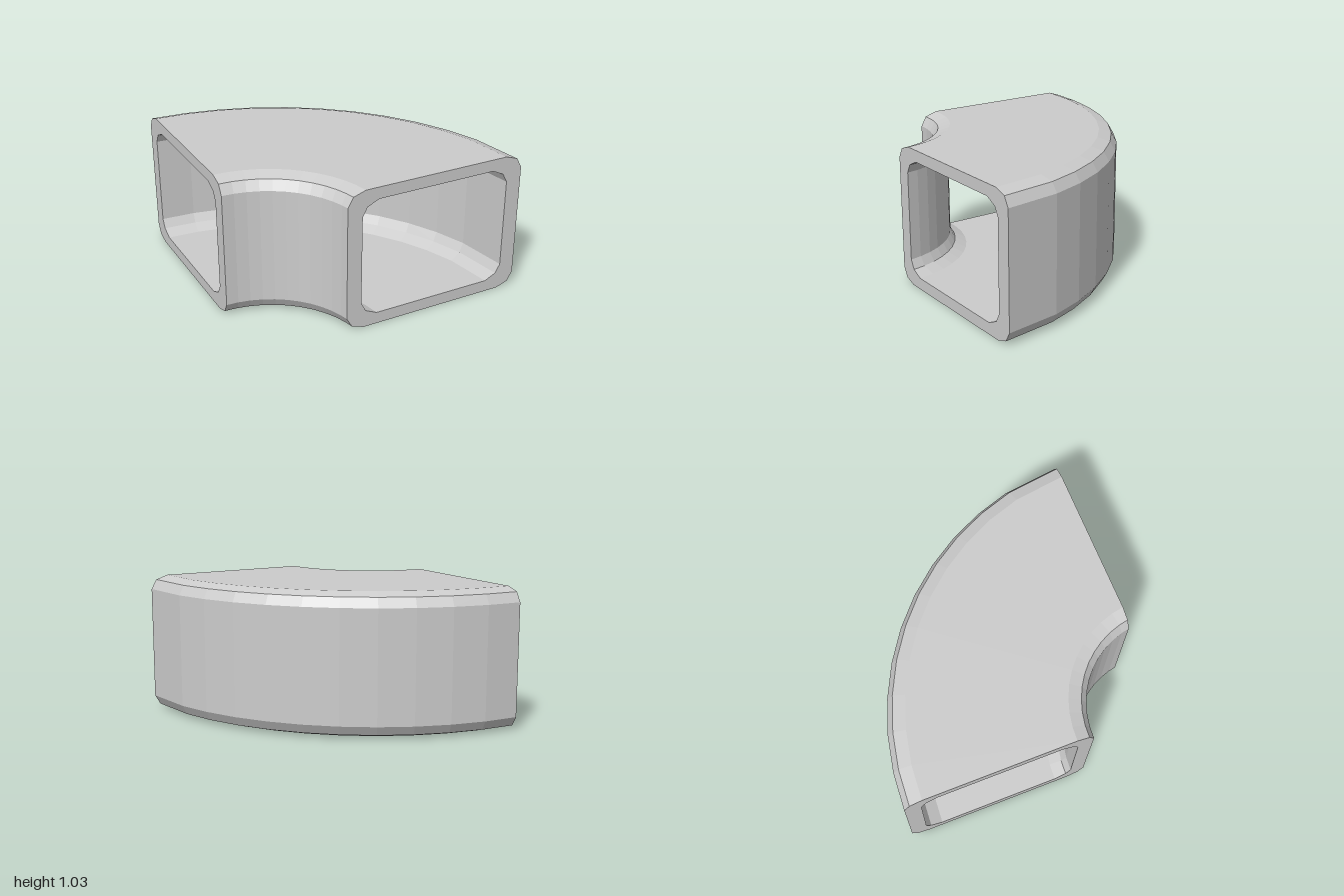
import * as THREE from 'three';

const CENTRE_X = -1, CENTRE_Z = 1.06, END_Z = 0.95;

// Rounded rectangle in (radius, height), counter-clockwise, two-facet corners
function profile(r0, r1, y0, y1, [longR, shortR], [longY, shortY]) {
  return [
    [r1, y0 + longY], [r1, y1 - longY], [r1 - shortR, y1 - shortY], [r1 - longR, y1],
    [r0 + longR, y1], [r0 + shortR, y1 - shortY], [r0, y1 - longY],
    [r0, y0 + longY], [r0 + shortR, y0 + shortY], [r0 + longR, y0],
    [r1 - longR, y0], [r1 - shortR, y0 + shortY],
  ];
}

// Sections every 7.5 degrees round the bend, then one flat section at the mouth
function sweep(points) {
  const sections = [];
  for (let s = 0; s <= 10; s++) {
    const a = THREE.MathUtils.degToRad(7.5 * s);
    sections.push(points.map(([r, y]) =>
      [CENTRE_X + r * Math.sin(a), y, CENTRE_Z - r * Math.cos(a)]));
  }
  sections.push(points.map(([r, y]) => [CENTRE_X + r - 0.01, y, END_Z]));
  return sections;
}

// Joins consecutive closed loops with quads
function skin(loops, flip = false) {
  const pos = [];
  for (let s = 0; s < loops.length - 1; s++) {
    const n = loops[s].length;
    for (let i = 0; i < n; i++) {
      const j = (i + 1) % n;
      const a = loops[s][i], b = loops[s][j], c = loops[s + 1][j], d = loops[s + 1][i];
      const corners = flip ? [a, d, b, b, d, c] : [a, b, d, b, c, d];
      for (const p of corners) pos.push(...p);
    }
  }
  const geometry = new THREE.BufferGeometry();
  geometry.setAttribute('position', new THREE.Float32BufferAttribute(pos, 3));
  geometry.computeVertexNormals();
  return geometry;
}

export function createModel() {
  const group = new THREE.Group();
  group.name = 'ductElbow';
  const material = new THREE.MeshStandardMaterial({ color: 0xcccccc, flatShading: true });
  const add = (name, geometry) => {
    const mesh = new THREE.Mesh(geometry, material);
    mesh.name = name;
    group.add(mesh);
  };

  const outer = sweep(profile(0.65, 2.01, 0, 1.03, [0.13, 0.04], [0.1, 0.03]));
  const inner = sweep(profile(0.76, 1.895, 0.085, 0.945, [0.12, 0.035], [0.105, 0.04]));
  const last = outer.length - 1;

  add('outerWall', skin(outer));
  add('innerBore', skin(inner, true));
  // Flat rims closing the wall thickness at both openings
  add('sideRim', skin([outer[0], inner[0]], true));
  add('frontRim', skin([outer[last], inner[last]]));
  return group;
}
